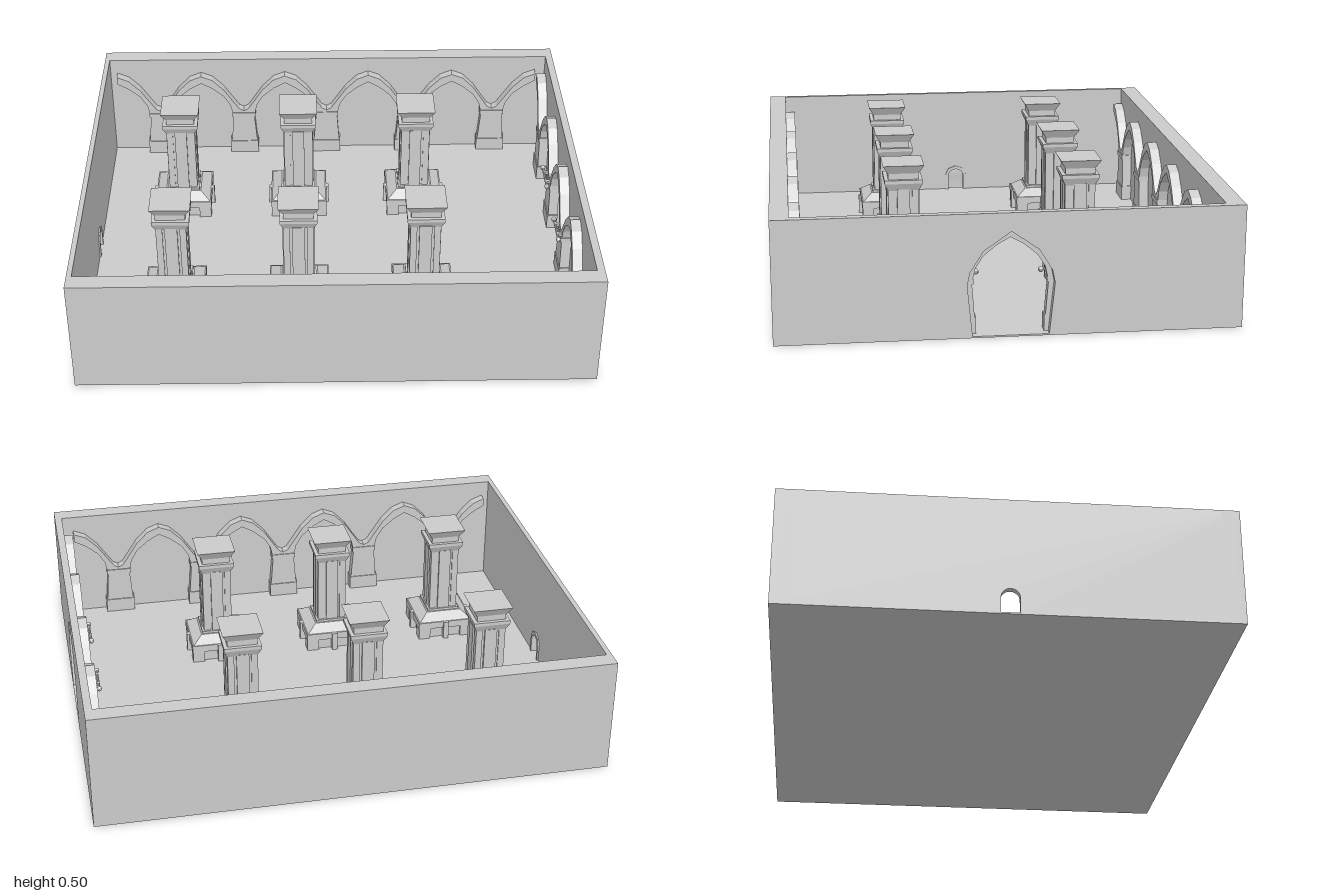
import * as THREE from 'three';

const material = new THREE.MeshStandardMaterial({ color: 0xcccccc, flatShading: true });

function add(parent, name, geometry, x = 0, y = 0, z = 0) {
  const mesh = new THREE.Mesh(geometry, material);
  mesh.name = name;
  mesh.position.set(x, y, z);
  parent.add(mesh);
  return mesh;
}

function box(parent, name, w, h, d, x, y0, z) {
  return add(parent, name, new THREE.BoxGeometry(w, h, d), x, y0 + h / 2, z);
}

// Square block whose bottom and top widths differ
function taper(parent, name, wBottom, wTop, y0, y1) {
  const g = new THREE.CylinderGeometry(wTop * Math.SQRT1_2, wBottom * Math.SQRT1_2, y1 - y0, 4);
  g.rotateY(Math.PI / 4);
  return add(parent, name, g, 0, (y0 + y1) / 2, 0);
}

// Closed outline from its right half, mirrored to the left
function mirrored(points) {
  const left = points.filter(p => p[0] > 0).map(([x, y]) => [-x, y]).reverse();
  return [...points, ...left].map(p => new THREE.Vector2(...p));
}

function extrude(shape, depth) {
  return new THREE.ExtrudeGeometry(shape, { depth, bevelEnabled: false, curveSegments: 8 });
}

const HEIGHT = 0.47;
const BAY = 0.375;

// End wall running along z, with a doorway cut from the floor up
function endWall(parent, name, x, thickness, hole) {
  const outline = [[-0.86, 0], [-0.86, HEIGHT], [0.86, HEIGHT], [0.86, 0]].map(p => new THREE.Vector2(...p));
  const door = mirrored(hole).reverse();
  const start = door.findIndex(p => p.y === 0 && p.x > 0);
  const path = door.slice(start).concat(door.slice(0, start));
  // order the doorway from its right foot over the top to its left foot
  if (path[1].y === 0) path.push(path.shift()), path.reverse();
  const g = extrude(new THREE.Shape([...outline, ...path]), thickness);
  g.rotateY(Math.PI / 2);
  add(parent, name, g, x, 0, 0);
}

// One pier with half a pointed arch springing to either side
const pierOutline = mirrored([
  [0.0625, 0], [0.0625, 0.07], [0.0575, 0.07], [0.0475, 0.2], [0.06, 0.255],
  [0.0875, 0.3], [0.1375, 0.342], [0.1875, 0.37], [0.1875, 0.405], [0.1375, 0.385],
  [0.0875, 0.335], [0.0475, 0.275], [0.02, 0.235], [0, 0.225],
]);

function arcade(count) {
  const group = new THREE.Group();
  group.name = 'arcade';
  const pierGeometry = extrude(new THREE.Shape(pierOutline), 0.04);
  for (let i = 0; i < count; i++) {
    const x = (i - (count - 1) / 2) * BAY;
    add(group, 'pierAndArch', pierGeometry, x);
    box(group, 'pierBase', 0.125, 0.065, 0.044, x, 0, 0.022);
    box(group, 'pierCapital', 0.105, 0.02, 0.044, x, 0.195, 0.022);
  }
  return group;
}

function column() {
  const group = new THREE.Group();
  group.name = 'column';
  // Pedestal
  box(group, 'foot', 0.21, 0.055, 0.21, 0, 0, 0);
  box(group, 'pedestalSlab', 0.24, 0.03, 0.24, 0, 0.055, 0);
  taper(group, 'pedestalSlope', 0.23, 0.15, 0.085, 0.115);
  for (const sx of [-1, 1]) for (const sz of [-1, 1]) {
    box(group, 'cornerFoot', 0.05, 0.055, 0.05, sx * 0.093, 0, sz * 0.093);
  }
  for (let i = 0; i < 4; i++) {
    const a = i * Math.PI / 2;
    const knob = box(group, 'sideBracket', 0.022, 0.085, 0.03, Math.sin(a) * 0.115, 0, Math.cos(a) * 0.115);
    knob.rotation.y = a;
    // Raised strip on each face of the shaft
    const strip = box(group, 'shaftStrip', 0.05, 0.29, 0.012, Math.sin(a) * 0.058, 0.115, Math.cos(a) * 0.058);
    strip.rotation.y = a;
  }
  // Shaft with corner ribs
  box(group, 'shaft', 0.11, 0.32, 0.11, 0, 0.11, 0);
  for (const sx of [-1, 1]) for (const sz of [-1, 1]) {
    box(group, 'shaftRib', 0.026, 0.29, 0.026, sx * 0.047, 0.115, sz * 0.047);
  }
  box(group, 'shaftCollar', 0.138, 0.015, 0.138, 0, 0.11, 0);
  // Two-tier capital
  taper(group, 'capitalLower', 0.12, 0.148, 0.4, 0.43);
  box(group, 'capitalBand', 0.148, 0.014, 0.148, 0, 0.43, 0);
  box(group, 'capitalNeck', 0.118, 0.03, 0.118, 0, 0.442, 0);
  taper(group, 'capitalUpper', 0.12, 0.16, 0.468, 0.503);
  return group;
}

// Slim rail with ball ends, fixed to the piers beside the large doorway
function rail(z) {
  const group = new THREE.Group();
  group.name = 'doorRail';
  const rod = add(group, 'rod', new THREE.CylinderGeometry(0.005, 0.005, 0.14, 8));
  rod.rotation.x = Math.PI / 2;
  for (const s of [-1, 1]) {
    add(group, 'ballEnd', new THREE.SphereGeometry(0.011, 10, 8), 0, 0, s * 0.07);
    box(group, 'bracket', 0.03, 0.012, 0.012, 0.012, -0.006, s * 0.035);
  }
  group.position.set(0.912, 0.225, z);
  return group;
}

export function createModel() {
  const model = new THREE.Group();
  model.name = 'pillaredHall';

  // Floor and walls
  box(model, 'floor', 2, 0.006, 1.72, 0, 0, 0);
  for (const s of [-1, 1]) box(model, 'sideWall', 2, HEIGHT, 0.07, 0, 0, s * 0.825);
  endWall(model, 'archedDoorWall', 0.97, 0.03,
    [[0.14, 0], [0.16, 0.2], [0.15, 0.25], [0.1, 0.33], [0, 0.4]]);
  const roundTop = [];
  for (let i = 0; i <= 6; i++) {
    const a = i * Math.PI / 12;
    roundTop.push([i === 6 ? 0 : 0.035 * Math.cos(a), 0.067 + 0.035 * Math.sin(a)]);
  }
  endWall(model, 'smallDoorWall', -1, 0.02, [[0.035, 0], ...roundTop]);

  // Frame around the small doorway
  const frameOuter = mirrored([[0.048, 0], [0.048, 0.075], [0.035, 0.105], [0, 0.118]]);
  const frameInner = mirrored([[0.035, 0.0], ...roundTop]);
  const frame = extrude(new THREE.Shape([...frameOuter, ...frameInner.reverse()]), 0.026);
  frame.rotateY(Math.PI / 2);
  add(model, 'smallDoorFrame', frame, -1.0, 0, 0);

  // Blind arcades along three walls
  const back = arcade(5);
  back.position.set(-0.0125, 0, -0.79);
  const front = arcade(5);
  front.position.set(-0.0125, 0, 0.79);
  front.rotation.y = Math.PI;
  const end = arcade(4);
  end.position.set(0.97, 0, 0);
  end.rotation.y = -Math.PI / 2;
  model.add(back, front, end, rail(-0.19), rail(0.19));

  // Two rows of columns
  for (const x of [-0.64, -0.14, 0.36]) for (const z of [-0.35, 0.345]) {
    const c = column();
    c.position.set(x, 0, z);
    model.add(c);
  }
  return model;
}
